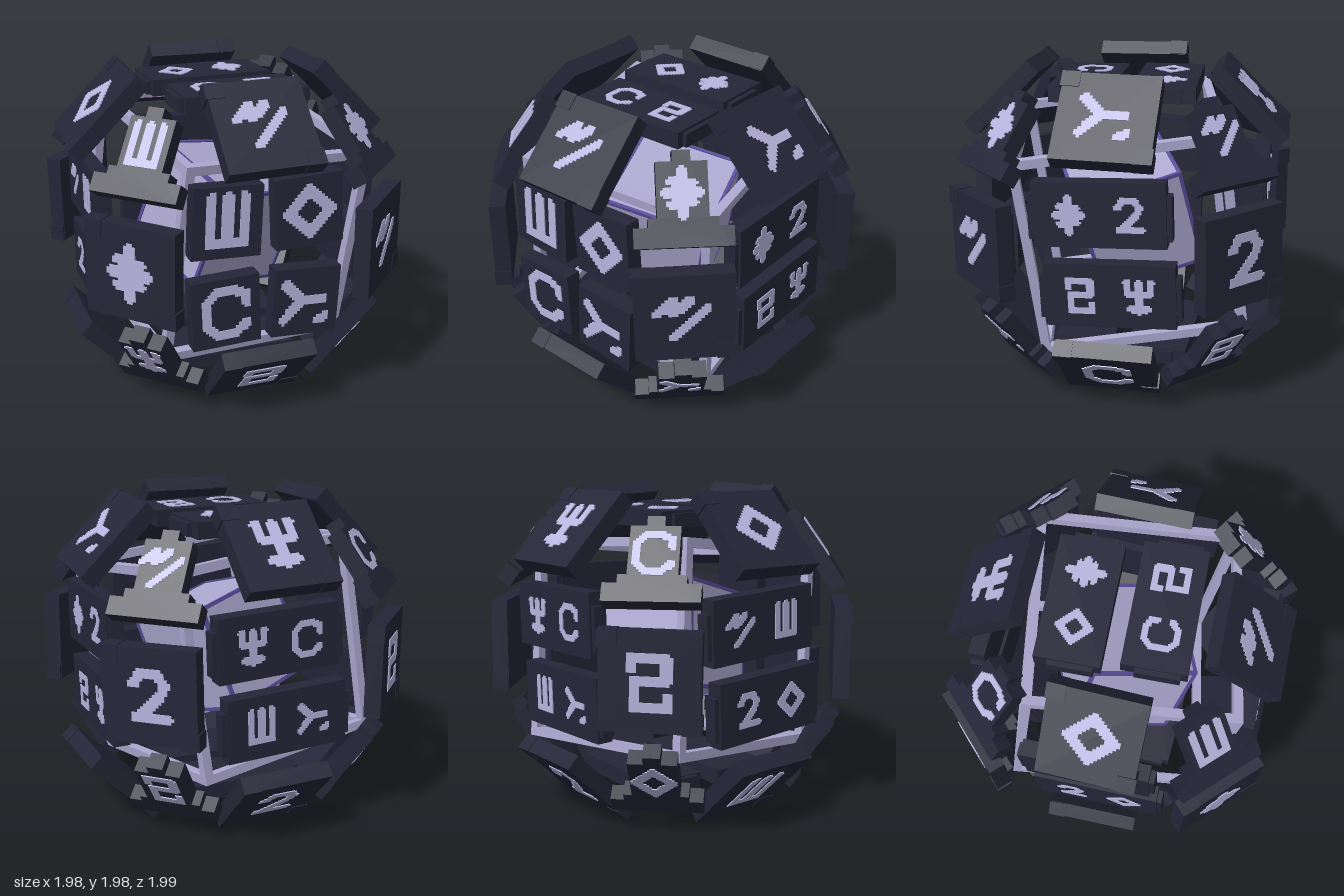
import * as THREE from 'three';
import { mergeGeometries } from 'three/addons/utils/BufferGeometryUtils.js';

const material = (name, color) => {
  const m = new THREE.MeshStandardMaterial({ color });
  m.name = name;
  return m;
};

// Abstract carved marks as strokes in a -1..1 square
const MARKS = {
  comb: [[[-.6, .9], [-.6, -.75], [.6, -.75], [.6, .9]], [[0, .9], [0, -.75]]],
  diamond: [[[0, .8], [.8, 0], [0, -.8], [-.8, 0], [0, .8]]],
  hook: [[[.75, .3], [.7, .6], [.3, .82], [-.35, .82], [-.75, .4], [-.75, -.4], [-.35, -.82], [.3, -.82], [.75, -.5]]],
  fork: [[[-.8, .7], [-.2, .05], [-.8, -.65]], [[-.2, .05], [.6, .05]], [[.5, -.75], [.75, -.65]]],
  slash: [[[-.9, .25], [-.35, .75], [-.35, .25], [.2, .75]], [[-.35, -.75], [.75, .35]]],
  swan: [[[-.55, .45], [-.3, .8], [.3, .8], [.55, .45], [.4, .05], [-.5, -.75], [.65, -.75]]],
  maze: [[[-.6, .5], [-.6, .85], [.55, .85], [.55, .05], [-.5, .05], [-.5, -.85], [.6, -.85], [.6, -.5]]],
  trident: [[[-.65, .85], [-.6, .2], [.6, .2], [.65, .85]], [[0, .85], [0, -.85]], [[-.45, -.65], [.45, -.65]]],
  star: [[[0, .9], [0, -.9]], [[-.7, 0], [.7, 0]], [[-.45, .45], [.45, .4]], [[-.45, -.45], [.45, -.4]]],
};

function strokeDistance(x, y, strokes) {
  let best = 9;
  for (const s of strokes) for (let i = 1; i < s.length; i++) {
    const [ax, ay] = s[i - 1], dx = s[i][0] - ax, dy = s[i][1] - ay;
    const t = THREE.MathUtils.clamp(((x - ax) * dx + (y - ay) * dy) / (dx * dx + dy * dy), 0, 1);
    best = Math.min(best, Math.hypot(x - ax - t * dx, y - ay - t * dy));
  }
  return best;
}

// Each mark is filled cell by cell, neighbouring cells of a row joined into one strip
const markCache = {};
function markGeometry(key) {
  if (markCache[key]) return markCache[key];
  const n = 20, cell = 2.2 / n, strips = [];
  for (let j = 0; j < n; j++) {
    const y = -1.1 + (j + .5) * cell;
    let start = -1;
    for (let i = 0; i <= n; i++) {
      const on = i < n && strokeDistance(-1.1 + (i + .5) * cell, y, MARKS[key]) < .18;
      if (on && start < 0) start = i;
      if (!on && start >= 0) {
        strips.push(new THREE.BoxGeometry((i - start) * cell, cell, .006)
          .translate(-1.1 + (i + start) / 2 * cell, y, .003));
        start = -1;
      }
    }
  }
  return (markCache[key] = mergeGeometries(strips));
}

export function createModel() {
  const stone = material('dark stone', 0x252538);
  const markPaint = material('pale mark', 0xb9b4de);
  const pale = material('lavender', 0xaea8d0);
  const violet = material('violet edge', 0x5c4c9c);

  const model = new THREE.Group();
  model.name = 'plateSphere';
  const core = new THREE.Group();
  core.position.y = 1;
  model.add(core);

  const box = (parent, name, mat, w, h, d, x, y, z) => {
    const m = new THREE.Mesh(new THREE.BoxGeometry(w, h, d), mat);
    m.name = name;
    m.position.set(x, y, z);
    parent.add(m);
    return m;
  };
  const addMark = (parent, key, x, y, z, size) => {
    const m = new THREE.Mesh(markGeometry(key), markPaint);
    m.name = 'mark';
    m.position.set(x, y, z);
    m.scale.set(size, size, 1);
    parent.add(m);
  };
  // Group whose local +z points outward along n and whose +y follows up
  const mount = (name, n, up, distance) => {
    const g = new THREE.Group(), z = new THREE.Vector3(...n).normalize();
    const x = new THREE.Vector3(...up).cross(z).normalize();
    g.name = name;
    g.quaternion.setFromRotationMatrix(new THREE.Matrix4().makeBasis(x, z.clone().cross(x), z));
    g.position.copy(z).multiplyScalar(distance);
    core.add(g);
    return g;
  };
  const plate = (parent, x, y, tilt) => {
    const g = new THREE.Group();
    g.name = 'plate';
    g.position.set(x, y, 0);
    g.rotation.z = tilt;
    parent.add(g);
    return g;
  };

  // Front face: four separate square plates
  const front = mount('frontPlates', [0, 0, 1], [0, 1, 0], .87);
  for (const [x, y, key, tilt] of [[-.245, .265, 'comb', -.04], [.245, .275, 'diamond', .05],
    [-.25, -.28, 'hook', .04], [.24, -.285, 'fork', -.05]]) {
    const p = plate(front, x, y, tilt);
    box(p, 'slab', stone, .41, .42, .1, 0, 0, -.05);
    addMark(p, key, 0, 0, 0, .165);
  }

  // Other faces: two long plates, two marks each
  const Y = [0, 1, 0], BACK = [0, 0, -1];
  for (const [name, n, up, keys] of [
    ['leftPlates', [1, 0, 0], Y, ['star', 'swan', 'maze', 'trident']],
    ['rightPlates', [-1, 0, 0], Y, ['slash', 'comb', 'swan', 'diamond']],
    ['backPlates', BACK, Y, ['trident', 'hook', 'comb', 'fork']],
    ['topPlates', Y, BACK, ['diamond', 'star', 'hook', 'maze']],
    ['bottomPlates', [0, -1, 0], BACK, ['fork', 'slash', 'star', 'swan']]]) {
    const face = mount(name, n, up, .87);
    for (const row of [0, 1]) {
      const s = row ? 1 : -1;
      const p = plate(face, s * .03, -s * .24, .035);
      box(p, 'slab', stone, .76, .38, .1, 0, 0, -.05);
      box(p, 'steppedEnds', stone, .82, .26, .08, 0, -.02, -.055);
      addMark(p, keys[row * 2], -.17, 0, 0, .11);
      addMark(p, keys[row * 2 + 1], .17, 0, 0, .11);
    }
  }

  // Twelve slanted plates along the cube edges
  [[0, 1, 1, 'slash'], [1, 1, 0, 'fork'], [0, 1, -1, 'trident'], [-1, 1, 0, 'diamond'],
    [1, 0, 1, 'slash'], [-1, 0, 1, 'star'], [1, 0, -1, 'swan'], [-1, 0, -1, 'maze'],
    [0, -1, 1, 'maze'], [1, -1, 0, 'hook'], [0, -1, -1, 'swan'], [-1, -1, 0, 'comb']]
    .forEach(([x, y, z, key], i) => {
      const g = mount('edgePlate', [x, y, z], Y, 1.105);
      const p = plate(g, 0, 0, i % 2 ? -.02 : .02);
      box(p, 'slab', stone, .56, .56, .1, 0, 0, -.05);
      for (const s of [-1, 1]) box(p, 'cornerBlock', stone, .11, .1, .1, s * .235, -s * .235, -.045);
      addMark(p, key, 0, 0, 0, .165);
    });

  // Eight stepped corner pieces
  const half = [[.27, -.26], [.27, -.15], [.19, -.15], [.19, -.1], [.14, -.1], [.14, .2], [.05, .2], [.05, .26]];
  const outline = [...half, ...half.map(([x, y]) => [-x, y]).reverse()];
  const cornerGeometry = new THREE.ExtrudeGeometry(
    new THREE.Shape(outline.map(([x, y]) => new THREE.Vector2(x, y))), { depth: .1, bevelEnabled: false });
  for (const [x, y, z, key] of [[-1, 1, 1, 'comb'], [1, 1, 1, 'star'], [-1, -1, 1, 'trident'], [1, -1, 1, 'fork'],
    [-1, 1, -1, 'hook'], [1, 1, -1, 'slash'], [-1, -1, -1, 'diamond'], [1, -1, -1, 'maze']]) {
    const g = mount('cornerPiece', [x, y, z], Y, 1.02);
    const slab = new THREE.Mesh(cornerGeometry, stone);
    slab.name = 'steppedSlab';
    g.add(slab);
    addMark(g, key, 0, .03, .1, .135);
  }

  // Twelve bars around a cube
  const cubeEdges = (parent, name, mat, size, t) => {
    for (let axis = 0; axis < 3; axis++) for (const a of [-1, 1]) for (const b of [-1, 1]) {
      const dims = [t, t, t], pos = [0, 0, 0];
      dims[axis] = size + (axis === 0 ? t : -t);
      pos[(axis + 1) % 3] = a * size / 2;
      pos[(axis + 2) % 3] = b * size / 2;
      box(parent, name, mat, ...dims, ...pos);
    }
  };
  const tilted = (name, xAxis, yAxis) => {
    const g = new THREE.Group(), x = new THREE.Vector3(...xAxis).normalize();
    const z = x.clone().cross(new THREE.Vector3(...yAxis)).normalize();
    g.name = name;
    g.quaternion.setFromRotationMatrix(new THREE.Matrix4().makeBasis(x, z.clone().cross(x), z));
    core.add(g);
    return g;
  };

  // Open cage turned slightly off the axes
  cubeEdges(tilted('cage', [1.2, -.086, -.22], [.11, 1.18, .14]), 'cageBar', pale, 1.2, .055);

  // Solid heart with violet edges
  const heart = tilted('heart', [.59, -.12, -.24], [.185, .63, .13]);
  box(heart, 'heartCube', pale, .65, .65, .65, 0, 0, 0);
  cubeEdges(heart, 'heartEdge', violet, .642, .022);

  return model;
}
